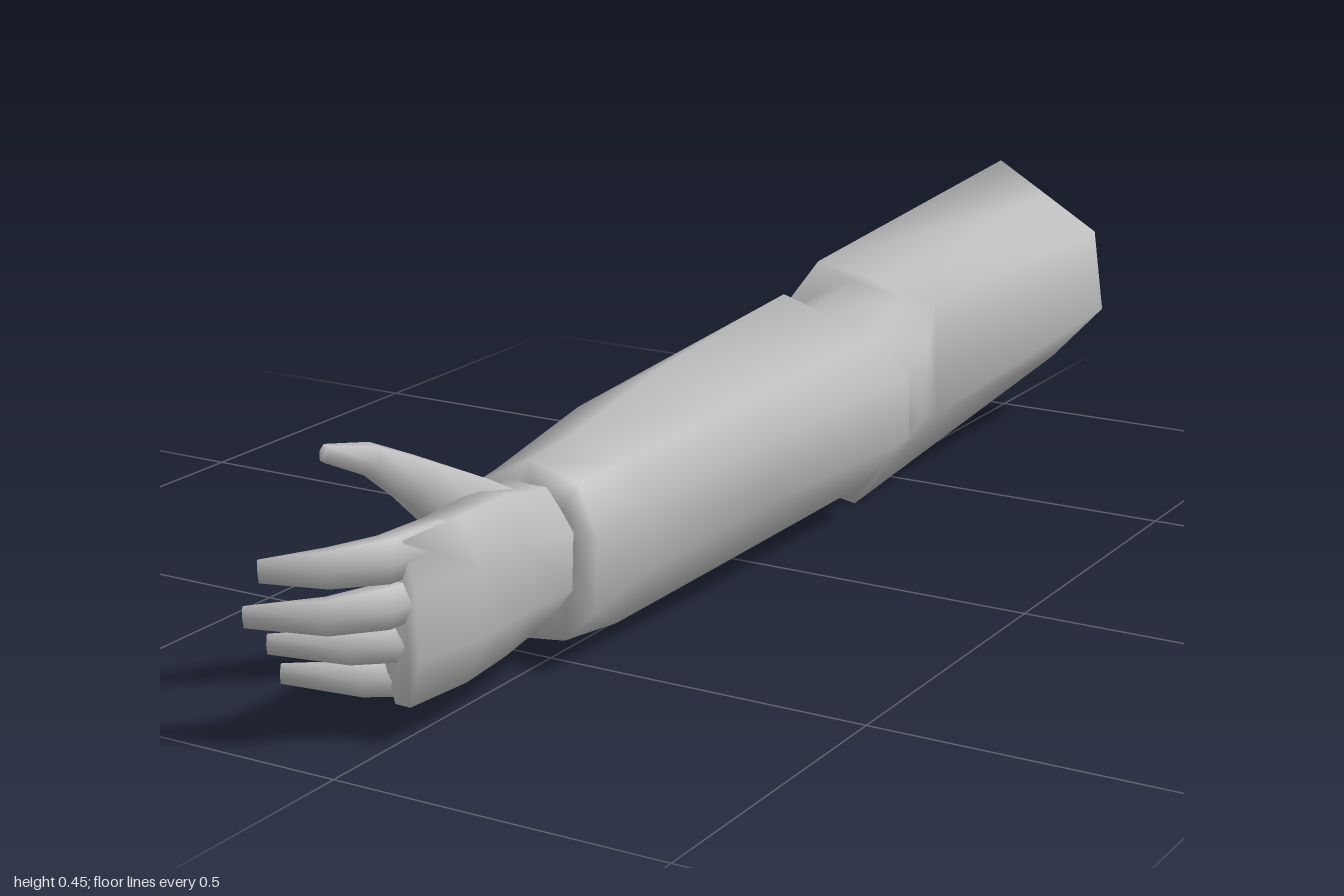
import * as THREE from 'three';

const grey = new THREE.MeshStandardMaterial({ color: 0xbcbcbc, side: THREE.DoubleSide });
grey.name = 'grey';

// Smooth skin over rings listed back to front, each running clockwise seen from the front
function loft(name, rings, cap = false) {
  const n = rings[0].length, pos = rings.flat(2), idx = [];
  for (let r = 0; r < rings.length - 1; r++) {
    for (let i = 0; i < n; i++) {
      const a = r * n + i, b = r * n + (i + 1) % n;
      idx.push(a, a + n, b, b, a + n, b + n);
    }
  }
  if (cap) {
    const last = (rings.length - 1) * n;
    for (let i = 1; i < n - 1; i++) idx.push(last, last + i + 1, last + i);
  }
  const g = new THREE.BufferGeometry();
  g.setAttribute('position', new THREE.Float32BufferAttribute(pos, 3));
  g.setIndex(idx);
  g.computeVertexNormals();
  const mesh = new THREE.Mesh(g, grey);
  mesh.name = name;
  return mesh;
}

// Tapered limb along a path; radii are [sideways, upward] at each point
function limb(name, path, radii, sides) {
  const p = path.map(v => new THREE.Vector3(...v));
  const rings = p.map((c, k) => {
    const t = p[Math.min(k + 1, p.length - 1)].clone().sub(p[Math.max(k - 1, 0)]).normalize();
    const side = new THREE.Vector3(0, 1, 0).cross(t).normalize();
    const up = t.clone().cross(side);
    return Array.from({ length: sides }, (_, i) => {
      const a = (i + 0.5) / sides * Math.PI * 2;
      return c.clone().addScaledVector(side, Math.sin(a) * radii[k][0])
        .addScaledVector(up, Math.cos(a) * radii[k][1]).toArray();
    });
  });
  return loft(name, rings, true);
}

export function createModel() {
  const arm = new THREE.Group();
  arm.name = 'arm';

  // Upper arm: six flat sides, slightly twisted, open at the shoulder
  const upperArm = [
    [[-0.01, 0.455, -0.98], [0.081, 0.4, -0.983], [0.172, 0.345, -0.985], [0.187, 0.205, -0.995],
      [0.093, 0.105, -1], [-0.095, 0.108, -1], [-0.142, 0.187, -0.995], [-0.188, 0.265, -0.99]],
    [[-0.08, 0.375, -0.43], [0.03, 0.355, -0.43], [0.14, 0.335, -0.42], [0.165, 0.16, -0.38],
      [0.04, 0.002, -0.34], [-0.087, 0.015, -0.36], [-0.134, 0.112, -0.38], [-0.18, 0.21, -0.4]],
  ];
  // Narrower elbow joint between the two sleeves
  const elbow = [
    [[-0.01, 0.355, -0.415], [0.09, 0.335, -0.41], [0.14, 0.27, -0.4], [0.148, 0.155, -0.37],
      [0.07, 0.065, -0.335], [-0.02, 0.045, -0.34], [-0.13, 0.12, -0.365], [-0.17, 0.24, -0.395]],
    [[0, 0.336, -0.235], [0.105, 0.305, -0.27], [0.15, 0.25, -0.285], [0.15, 0.16, -0.29],
      [0.075, 0.075, -0.285], [-0.02, 0.048, -0.275], [-0.148, 0.125, -0.27], [-0.175, 0.255, -0.25]],
  ];
  // Forearm, swelling below the elbow and narrowing to the cuff
  const cuffRim = [[-0.01, 0.3, 0.53], [0.07, 0.278, 0.53], [0.104, 0.205, 0.535], [0.1, 0.1, 0.54],
    [0.05, 0.05, 0.54], [-0.02, 0.042, 0.54], [-0.1, 0.09, 0.53], [-0.122, 0.24, 0.515]];
  const forearm = [
    [[0, 0.385, -0.17], [0.13, 0.315, -0.24], [0.17, 0.25, -0.27], [0.172, 0.15, -0.27],
      [0.09, 0.06, -0.26], [-0.02, 0.022, -0.25], [-0.155, 0.12, -0.24], [-0.178, 0.26, -0.2]],
    [[0, 0.356, 0.19], [0.11, 0.305, 0.15], [0.145, 0.24, 0.13], [0.148, 0.15, 0.13],
      [0.09, 0.06, 0.15], [-0.02, 0.022, 0.15], [-0.145, 0.11, 0.15], [-0.17, 0.26, 0.16]],
    [[-0.01, 0.308, 0.42], [0.075, 0.28, 0.42], [0.104, 0.21, 0.4], [0.104, 0.12, 0.4],
      [0.06, 0.04, 0.42], [-0.02, 0.026, 0.43], [-0.11, 0.09, 0.43], [-0.135, 0.24, 0.43]],
    cuffRim,
  ];
  // The cuff turns inward to meet the wrist
  const cuffInner = cuffRim.map(([x, y, z]) => [x * 0.6, 0.165 + (y - 0.165) * 0.6, z]);
  arm.add(loft('sleeve', [...upperArm, ...elbow, ...forearm, cuffInner], true));

  // Hand: a flat upright palm
  const hand = new THREE.Group();
  hand.name = 'hand';
  hand.add(limb('palm',
    [[-0.015, 0.165, 0.5], [-0.012, 0.167, 0.56], [0.012, 0.178, 0.66], [0.018, 0.176, 0.76], [0.014, 0.174, 0.87]],
    [[0.085, 0.105], [0.083, 0.108], [0.062, 0.122], [0.053, 0.126], [0.032, 0.124]], 8));

  // Four fingers curling to the right: base height, tip height, tip x, tip z, thickness
  const fingers = [
    ['indexFinger', 0.265, 0.258, -0.115, 0.99, 0.034],
    ['middleFinger', 0.203, 0.194, -0.138, 0.995, 0.032],
    ['ringFinger', 0.143, 0.143, -0.138, 0.95, 0.03],
    ['littleFinger', 0.087, 0.094, -0.138, 0.925, 0.03],
  ];
  for (const [name, y0, y1, x, z, r] of fingers) {
    hand.add(limb(name,
      [[0.018, y0, z - 0.2], [0.008, y0, z - 0.1], [-0.04, (y0 + y1) / 2, z - 0.045], [x, y1, z]],
      [[0.028, r], [0.026, r], [0.019, r * 0.85], [0.007, r * 0.5]], 6));
  }

  // Thumb with a broad base, pointing up and outward
  hand.add(limb('thumb',
    [[-0.025, 0.205, 0.55], [-0.04, 0.26, 0.65], [-0.068, 0.316, 0.725], [-0.094, 0.354, 0.78], [-0.122, 0.373, 0.838]],
    [[0.055, 0.055], [0.056, 0.055], [0.041, 0.036], [0.029, 0.024], [0.013, 0.013]], 6));
  arm.add(hand);
  return arm;
}
